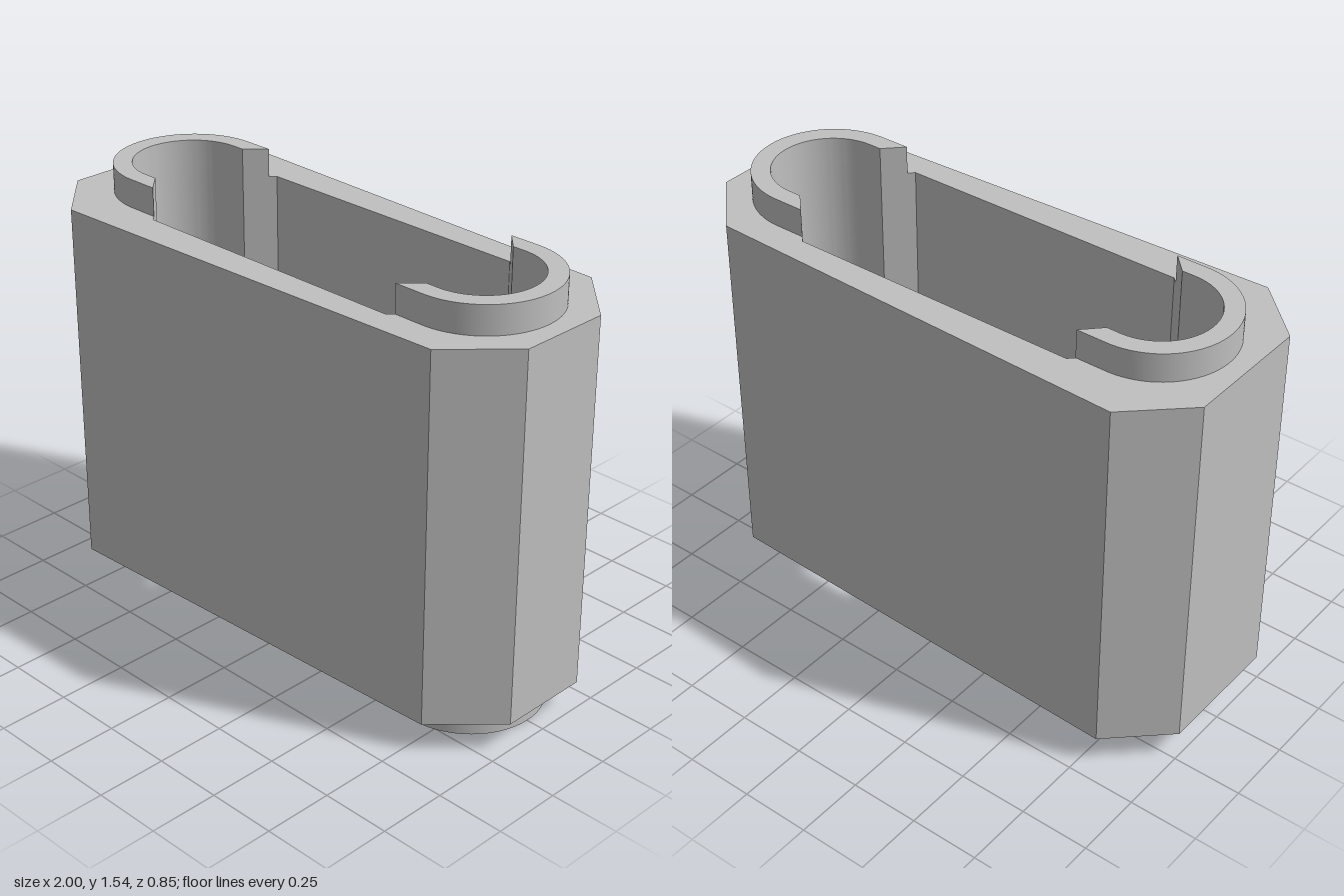
import * as THREE from 'three';
import { toCreasedNormals } from 'three/addons/utils/BufferGeometryUtils.js';

const BASE = 0.103, TOP = 1.435, HEIGHT = 1.537;
const ARC_X = 0.667, INNER_R = 0.2, OUTER_R = 0.266;
const H = Math.PI / 2;

// Extrude a plan outline upwards between two heights, with smooth arcs and sharp corners
function slab(name, shape, y0, y1, material) {
  const geometry = new THREE.ExtrudeGeometry(shape, { depth: y1 - y0, bevelEnabled: false, curveSegments: 32 });
  geometry.rotateX(-H);
  geometry.translate(0, y0, 0);
  const mesh = new THREE.Mesh(toCreasedNormals(geometry, 0.4), material);
  mesh.name = name;
  return mesh;
}

// Tapered outline with chamfered corners
function bodyShape() {
  const half = [[-1, 0.235], [-0.8, 0.425], [0.8, 0.372], [1, 0.168]];
  const outline = [...half.map(([x, z]) => [x, -z]), ...half.reverse()];
  const shape = new THREE.Shape(outline.map(([x, z]) => new THREE.Vector2(x, z)));

  // Slot with rounded ends and a wider middle
  const hole = new THREE.Path();
  hole.moveTo(-0.537, 0.286);
  hole.lineTo(0.537, 0.286);
  hole.lineTo(0.62, INNER_R);
  hole.lineTo(ARC_X, INNER_R);
  hole.absarc(ARC_X, 0, INNER_R, H, -H, true);
  hole.lineTo(0.62, -INNER_R);
  hole.lineTo(0.537, -0.286);
  hole.lineTo(-0.537, -0.286);
  hole.lineTo(-0.62, -INNER_R);
  hole.lineTo(-ARC_X, -INNER_R);
  hole.absarc(-ARC_X, 0, INNER_R, -H, -3 * H, true);
  hole.lineTo(-0.62, INNER_R);
  hole.closePath();
  shape.holes.push(hole);
  return shape;
}

// C-shaped lip around one rounded end of the slot
function collarShape(side) {
  const s = new THREE.Shape();
  const clockwise = side < 0;
  s.moveTo(side * 0.62, -INNER_R);
  s.lineTo(side * 0.556, -OUTER_R);
  s.lineTo(side * ARC_X, -OUTER_R);
  s.absarc(side * ARC_X, 0, OUTER_R, -H, clockwise ? -3 * H : H, clockwise);
  s.lineTo(side * 0.556, OUTER_R);
  s.lineTo(side * 0.62, INNER_R);
  s.lineTo(side * ARC_X, INNER_R);
  s.absarc(side * ARC_X, 0, INNER_R, clockwise ? -3 * H : H, -H, !clockwise);
  s.closePath();
  return s;
}

export function createModel() {
  const model = new THREE.Group();
  model.name = 'hollowSleeve';
  const grey = new THREE.MeshStandardMaterial({ color: 0xc0c0c0 });
  grey.name = 'light grey';

  model.add(slab('body', bodyShape(), BASE, TOP, grey));
  for (const [side, label] of [[1, 'left'], [-1, 'right']]) {
    model.add(slab(label + 'TopCollar', collarShape(side), TOP, HEIGHT, grey));
    model.add(slab(label + 'BottomCollar', collarShape(side), 0, BASE, grey));
  }
  return model;
}
